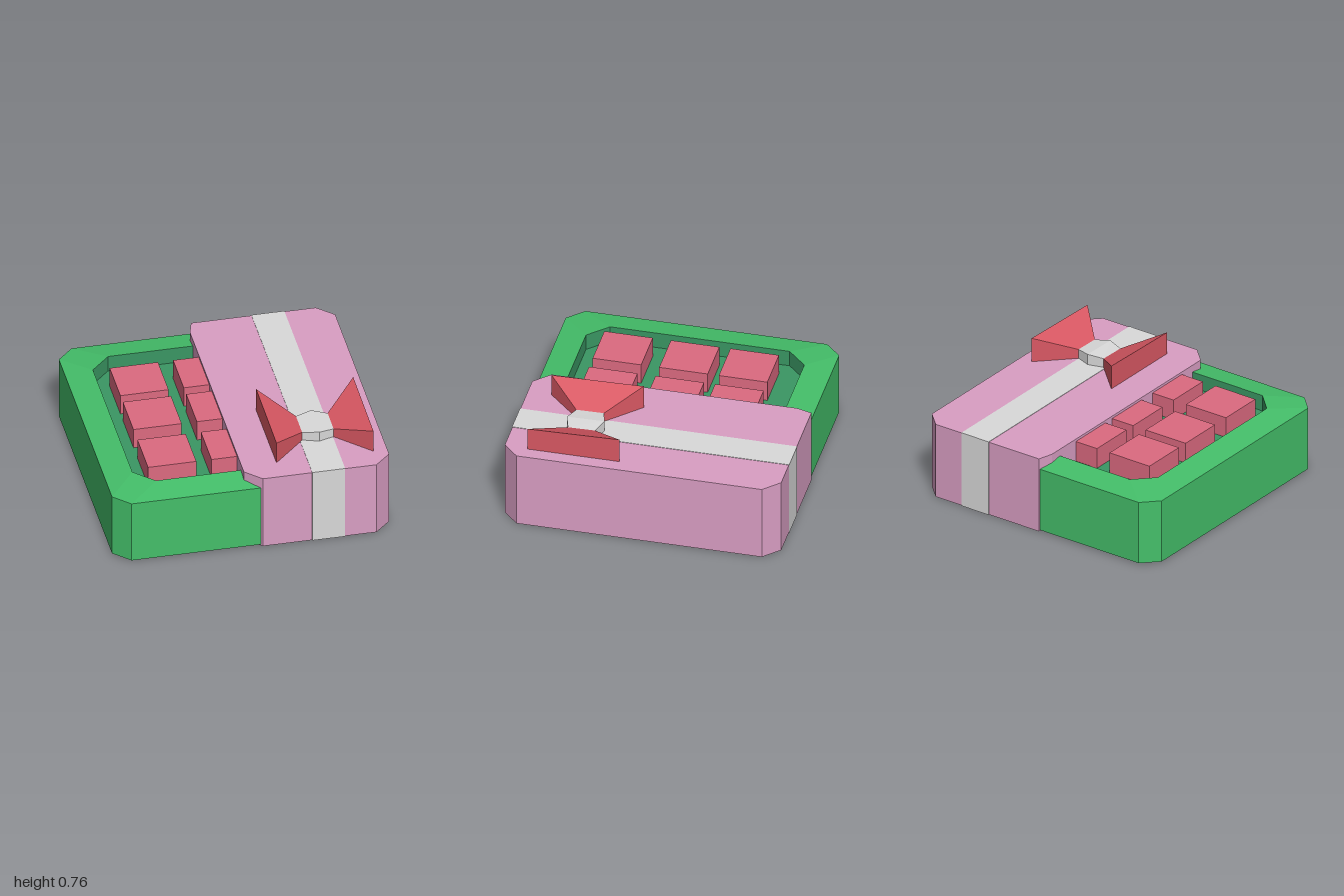
import * as THREE from 'three';

const mat = (name, color) => {
  const m = new THREE.MeshStandardMaterial({ color });
  m.name = name;
  return m;
};

// Flat-shaded skin through cross-section rings, with optional end caps
function skin(rings, capStart = true, capEnd = true) {
  const pos = [];
  const tri = (a, b, c) => pos.push(...a, ...b, ...c);
  const n = rings[0].length;
  for (let r = 0; r < rings.length - 1; r++) {
    const a = rings[r], b = rings[r + 1];
    for (let i = 0; i < n; i++) {
      const j = (i + 1) % n;
      tri(a[i], a[j], b[j]);
      tri(a[i], b[j], b[i]);
    }
  }
  const first = rings[0], last = rings[rings.length - 1];
  for (let i = 1; i < n - 1; i++) {
    if (capStart) tri(first[0], first[i + 1], first[i]);
    if (capEnd) tri(last[0], last[i], last[i + 1]);
  }
  const g = new THREE.BufferGeometry();
  g.setAttribute('position', new THREE.Float32BufferAttribute(pos, 3));
  g.computeVertexNormals();
  return g;
}

// Rectangle with cut corners, counterclockwise from above
const octagon = (x0, x1, z0, z1, c, y) => [
  [x0 + c, y, z1], [x1 - c, y, z1], [x1, y, z1 - c], [x1, y, z0 + c],
  [x1 - c, y, z0], [x0 + c, y, z0], [x0, y, z0 + c], [x0, y, z1 - c],
];

// Upright section across the bow at x, from the lid up to a sloping top
const bowSection = (x, z0, z1, yBack, yFront) => [
  [x, 0.575, z1], [x, 0.575, z0], [x, yBack, z0], [x, yFront, z1],
];

export function createModel() {
  const green = mat('tray green', 0x44be69);
  const deepGreen = mat('well green', 0x3a9663);
  const pink = mat('sleeve pink', 0xd99ec3);
  const grey = mat('ribbon grey', 0xd9d9d9);
  const rose = mat('sweet rose', 0xdc6a80);
  const red = mat('bow red', 0xd95863);

  const model = new THREE.Group();
  model.name = 'giftBox';
  const add = (name, geometry, material, parent = model) => {
    const mesh = new THREE.Mesh(geometry, material);
    mesh.name = name;
    parent.add(mesh);
    return mesh;
  };

  // Tray: outer walls and sloping rim, then the sunken well
  const rimInner = octagon(-0.8, 0.75, -0.79, 0.785, 0.14, 0.522);
  add('tray', skin([
    octagon(-0.995, 0.92, -0.988, 0.985, 0.115, 0.01),
    octagon(-0.995, 0.92, -0.988, 0.985, 0.115, 0.49),
    rimInner,
  ], true, false), green);
  add('trayWell', skin([
    rimInner,
    octagon(-0.8, 0.75, -0.79, 0.785, 0.14, 0.4),
  ], false, true), deepGreen);

  // Sweets in two columns of three
  const sweets = new THREE.Group();
  sweets.name = 'sweets';
  model.add(sweets);
  for (const x of [-0.517, -0.062]) {
    for (const z of [-0.425, 0.005, 0.485]) {
      add('sweet', new THREE.BoxGeometry(0.346, 0.157, 0.35), rose, sweets)
        .position.set(x, 0.4765, z);
    }
  }

  // Sleeve covering one half of the tray
  const sleeve = (y) => [
    [0.06, y, 0.997], [0.875, y, 0.997], [0.99, y, 0.885], [0.99, y, -0.885],
    [0.875, y, -0.997], [-0.02, y, -0.997], [-0.052, y, -0.885], [-0.052, y, 0.885],
  ];
  add('sleeve', skin([sleeve(0.002), sleeve(0.574)]), pink);

  // Ribbon wrapped round the sleeve
  add('ribbon', new THREE.BoxGeometry(0.236, 0.577, 2), grey).position.set(0.532, 0.2885, 0);

  // Bow: two flared loops and a knot
  const bow = new THREE.Group();
  bow.name = 'bow';
  model.add(bow);
  const knotLeft = bowSection(0.43, 0.39, 0.59, 0.645, 0.642);
  const knotRight = bowSection(0.655, 0.4, 0.595, 0.645, 0.642);
  add('bowLoopRight', skin([bowSection(0.195, 0.16, 0.825, 0.755, 0.742), knotLeft]), red, bow);
  add('bowLoopLeft', skin([knotRight, bowSection(0.89, 0.165, 0.83, 0.76, 0.745)]), red, bow);
  add('bowKnot', skin([knotLeft, bowSection(0.545, 0.358, 0.63, 0.658, 0.653), knotRight]), grey, bow);

  return model;
}
